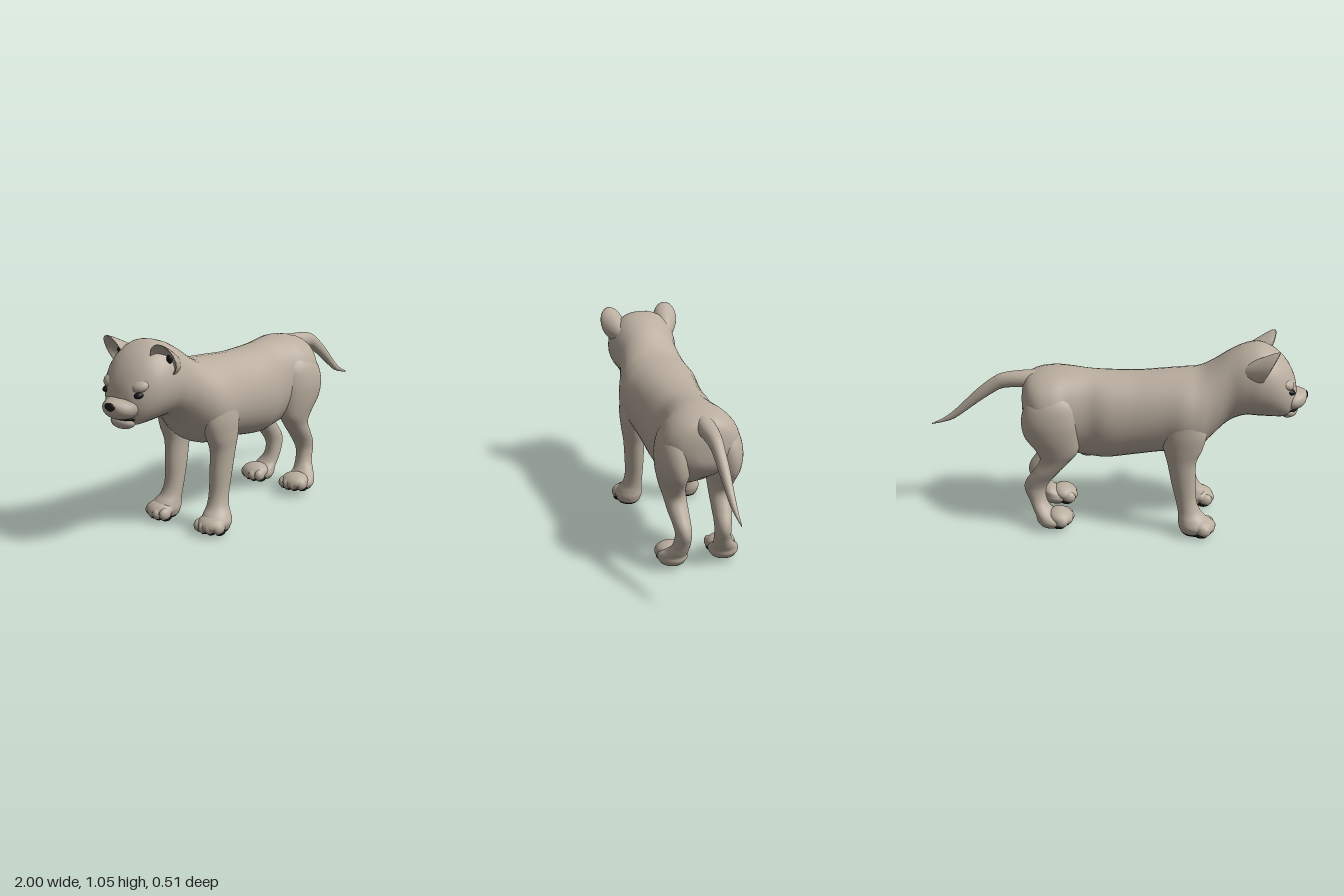
import * as THREE from 'three';

const fur = new THREE.MeshStandardMaterial({ color: 0xbaae9f });
fur.name = 'taupe fur';
const dark = new THREE.MeshStandardMaterial({ color: 0x141414 });
dark.name = 'black skin';

const SEG = 32, STEPS = 5;

// Smooth closed skin through oval rings; row = [x, y, z, radiusA, halfWidth].
// Rings stand across x for the body and lie flat for legs listed top to bottom.
function loft(rows, flat) {
  const centre = new THREE.CatmullRomCurve3(rows.map(r => new THREE.Vector3(r[0], r[1], r[2])), false, 'catmullrom', 0.5);
  const size = new THREE.CatmullRomCurve3(rows.map(r => new THREE.Vector3(r[3], r[4], 0)), false, 'catmullrom', 0.5);
  const n = (rows.length - 1) * STEPS;
  const pos = [], idx = [];
  for (let i = 0; i <= n; i++) {
    const c = centre.getPoint(i / n), s = size.getPoint(i / n);
    const ra = Math.max(s.x, 0.002), rb = Math.max(s.y, 0.002);
    for (let j = 0; j < SEG; j++) {
      const a = (j / SEG) * Math.PI * 2, ca = Math.cos(a), sa = Math.sin(a);
      if (flat) pos.push(c.x - ra * sa, c.y, c.z + rb * ca);
      else pos.push(c.x, c.y + ra * ca, c.z + rb * Math.sign(sa) * Math.pow(Math.abs(sa), 0.9));
    }
  }
  for (let i = 0; i < n; i++) {
    for (let j = 0; j < SEG; j++) {
      const k = (j + 1) % SEG, p = i * SEG, q = p + SEG;
      idx.push(p + j, p + k, q + j, p + k, q + k, q + j);
    }
  }
  // End caps
  const first = rows[0], last = rows[rows.length - 1], f = pos.length / 3;
  pos.push(first[0], first[1], first[2], last[0], last[1], last[2]);
  for (let j = 0; j < SEG; j++) {
    const k = (j + 1) % SEG;
    idx.push(f, k, j, f + 1, n * SEG + j, n * SEG + k);
  }
  const g = new THREE.BufferGeometry();
  g.setAttribute('position', new THREE.Float32BufferAttribute(pos, 3));
  g.setIndex(idx);
  g.computeVertexNormals();
  return g;
}

// Turns [x, top, bottom, halfWidth] into a loft row
const span = ([x, top, bottom, w]) => [x, (top + bottom) / 2, 0, (top - bottom) / 2, w];

function add(parent, name, geometry, material = fur) {
  const m = new THREE.Mesh(geometry, material);
  m.name = name;
  parent.add(m);
  return m;
}

function blob(parent, name, p, r, material = fur, tilt = 0) {
  const m = add(parent, name, new THREE.SphereGeometry(1, 24, 16), material);
  m.position.set(...p);
  m.scale.set(...r);
  m.rotation.z = tilt;
  return m;
}

// Paw front with short toes fanned toward -x and dark pads underneath
function paw(parent, x, y, z, s, w) {
  blob(parent, 'pawFront', [x - 0.04, y + 0.058, z], [0.068, 0.043, 0.078], fur, 0.2);
  for (let i = 0; i < 4; i++) {
    const t = i - 1.5;
    const tx = x - 0.08 + Math.abs(t) * 0.016 + s * t * 0.006;
    const tz = z + t * w;
    blob(parent, 'toe', [tx, y + 0.046, tz], [0.038, 0.033, 0.026]);
    blob(parent, 'toePad', [tx + 0.012, y + 0.021, tz], [0.033, 0.016, 0.021], dark);
  }
  blob(parent, 'solePad', [x + 0.002, y + 0.018, z], [0.068, 0.018, 0.06], dark);
}

export function createModel() {
  const model = new THREE.Group();
  model.name = 'bigCatCub';

  // Head, neck and torso in one skin
  add(model, 'body', loft([
    [-0.938, 0.79, 0.72, 0.03], [-0.92, 0.865, 0.675, 0.085], [-0.88, 0.94, 0.645, 0.137],
    [-0.82, 1.0, 0.645, 0.173], [-0.74, 1.036, 0.65, 0.188], [-0.66, 1.024, 0.65, 0.182],
    [-0.58, 0.985, 0.61, 0.17], [-0.5, 0.93, 0.53, 0.188], [-0.43, 0.893, 0.46, 0.214],
    [-0.35, 0.882, 0.435, 0.226], [-0.25, 0.875, 0.435, 0.21], [-0.1, 0.863, 0.412, 0.2],
    [0.05, 0.865, 0.39, 0.197], [0.15, 0.873, 0.395, 0.178], [0.25, 0.884, 0.42, 0.19],
    [0.33, 0.884, 0.47, 0.21], [0.41, 0.872, 0.52, 0.2], [0.47, 0.845, 0.57, 0.15],
    [0.498, 0.79, 0.62, 0.08], [0.505, 0.74, 0.67, 0.02],
  ].map(span)));
  blob(model, 'bellyFold', [0.16, 0.412, 0], [0.055, 0.032, 0.055]);

  // Tail
  add(model, 'tail', loft([
    [0.4, 0.87, 0.76, 0.045], [0.5, 0.862, 0.772, 0.047], [0.6, 0.848, 0.765, 0.038],
    [0.66, 0.82, 0.735, 0.032], [0.75, 0.748, 0.672, 0.027], [0.87, 0.63, 0.583, 0.017],
    [0.94, 0.577, 0.556, 0.009], [1.0, 0.547, 0.542, 0.002],
  ].map(span)));

  // Muzzle
  add(model, 'muzzle', loft([
    [-0.992, 0.768, 0.74, 0.02], [-0.985, 0.777, 0.716, 0.046], [-0.965, 0.784, 0.695, 0.073],
    [-0.935, 0.792, 0.685, 0.094], [-0.9, 0.82, 0.68, 0.105], [-0.85, 0.85, 0.68, 0.1],
  ].map(span)));
  blob(model, 'chin', [-0.9, 0.667, 0], [0.05, 0.036, 0.068], fur, -0.15);
  blob(model, 'nose', [-0.985, 0.755, 0], [0.015, 0.021, 0.034], dark);
  blob(model, 'mouth', [-0.912, 0.689, 0], [0.043, 0.01, 0.082], dark, -0.1);

  for (const s of [1, -1]) {
    // Eye tucked below an overhanging brow
    blob(model, 'brow', [-0.868, 0.853, s * 0.085], [0.05, 0.032, 0.054], fur, 0.5);
    blob(model, 'eye', [-0.892, 0.813, s * 0.103], [0.031, 0.016, 0.023], dark, 0.3);

    // Cupped ear opening forward, its top leaning forward and its back running into the skull
    const ear = new THREE.LatheGeometry([
      [0, -1], [0.25, -0.93], [0.5, -0.75], [0.75, -0.48], [0.94, -0.2], [1, -0.04], [0.97, 0.01],
      [0.9, -0.04], [0.7, -0.2], [0.35, -0.32], [0, -0.35],
    ].map(p => new THREE.Vector2(...p)), 28);
    ear.rotateZ(Math.PI / 2);
    ear.scale(0.18, 0.085, 0.068);
    const ep = ear.attributes.position;
    for (let i = 0; i < ep.count; i++) {
      // The back of the cup sinks down and inward
      const back = Math.max(ep.getX(i), 0);
      ep.setXYZ(i, ep.getX(i) - 0.5 * ep.getY(i), ep.getY(i) - 0.25 * back, ep.getZ(i) - s * 0.1 * back);
    }
    ear.rotateY(s * 0.2);
    ear.computeVertexNormals();
    add(model, 'ear', ear).position.set(-0.785, 0.966, s * 0.158);
    blob(model, 'innerEar', [-0.742, 0.965, s * 0.16], [0.012, 0.022, 0.016], dark);

    // Front leg
    const front = new THREE.Group();
    front.name = 'frontLeg';
    model.add(front);
    add(front, 'frontLimb', loft([
      [-0.36, 0.79, 0.1, 0.03, 0.03], [-0.36, 0.71, 0.13, 0.09, 0.078],
      [-0.357, 0.6, 0.147, 0.118, 0.08], [-0.35, 0.5, 0.155, 0.103, 0.067],
      [-0.345, 0.42, 0.155, 0.077, 0.058], [-0.357, 0.3, 0.152, 0.065, 0.053],
      [-0.372, 0.2, 0.152, 0.056, 0.05], [-0.39, 0.135, 0.158, 0.06, 0.055],
      [-0.41, 0.095, 0.168, 0.077, 0.068], [-0.42, 0.06, 0.173, 0.085, 0.077],
      [-0.42, 0.022, 0.173, 0.072, 0.064],
    ].map(r => [r[0], r[1], s * r[2], r[3], r[4]]), true));
    paw(front, -0.423, 0, s * 0.175, s, 0.037);

    // Hind leg with haunch and hock
    const hind = new THREE.Group();
    hind.name = 'hindLeg';
    model.add(hind);
    add(hind, 'hindLimb', loft([
      [0.33, 0.84, 0.08, 0.04, 0.03], [0.337, 0.75, 0.118, 0.125, 0.081],
      [0.345, 0.65, 0.137, 0.153, 0.089], [0.338, 0.55, 0.137, 0.148, 0.083],
      [0.315, 0.46, 0.13, 0.112, 0.069], [0.328, 0.4, 0.123, 0.08, 0.06],
      [0.378, 0.33, 0.117, 0.07, 0.054], [0.422, 0.27, 0.11, 0.066, 0.046],
      [0.438, 0.22, 0.107, 0.058, 0.042], [0.425, 0.16, 0.111, 0.047, 0.046],
      [0.398, 0.11, 0.127, 0.052, 0.06], [0.36, 0.08, 0.138, 0.075, 0.075],
      [0.348, 0.055, 0.14, 0.083, 0.08], [0.345, 0.028, 0.14, 0.07, 0.066],
    ].map(r => [r[0], r[1], s * r[2], r[3], r[4]]), true));
    paw(hind, 0.342, 0.018, s * 0.14, s, 0.036);
  }
  return model;
}
